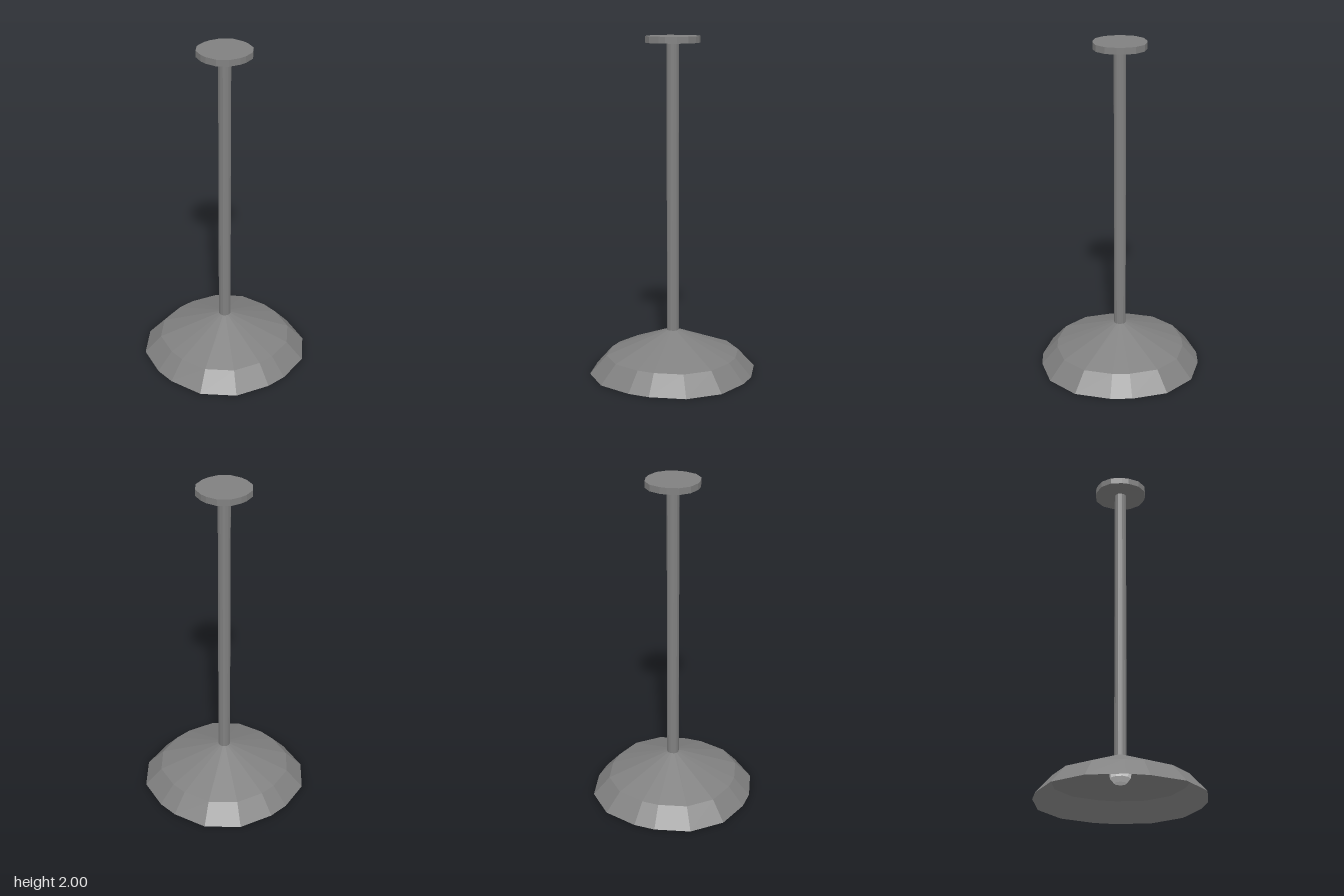
import * as THREE from 'three';

// Sixteen-sided outline shared by pole, plate and shade (one quadrant, x/z, mirrored below)
const quadrant = [[0.064, 0.48], [0.27, 0.423], [0.423, 0.27], [0.48, 0.064]];
const outline = [];
for (let q = 0; q < 4; q++) {
  for (const [x, z] of quadrant) {
    const a = q * Math.PI / 2, c = Math.round(Math.cos(a)), s = Math.round(Math.sin(a));
    outline.push([x * c + z * s, z * c - x * s]);
  }
}

// Joins scaled copies of the outline, bottom to top; rings are [half width, height]
function loft(rings, capped) {
  const pos = [];
  const n = outline.length;
  const point = ([w, y], i) => {
    const [x, z] = outline[i % n];
    return [x * w / 0.48, y, z * w / 0.48];
  };
  for (let i = 0; i < n; i++) {
    for (let r = 0; r < rings.length - 1; r++) {
      const a = point(rings[r], i), b = point(rings[r], i + 1);
      const c = point(rings[r + 1], i + 1), d = point(rings[r + 1], i);
      pos.push(...a, ...b, ...c, ...a, ...c, ...d);
    }
    if (capped) {
      const low = rings[0], high = rings[rings.length - 1];
      pos.push(0, high[1], 0, ...point(high, i), ...point(high, i + 1));
      pos.push(0, low[1], 0, ...point(low, i + 1), ...point(low, i));
    }
  }
  const geo = new THREE.BufferGeometry();
  geo.setAttribute('position', new THREE.Float32BufferAttribute(pos, 3));
  geo.computeVertexNormals();
  return geo;
}

export function createModel() {
  const group = new THREE.Group();
  const metal = new THREE.MeshStandardMaterial({ color: 0x808080, side: THREE.DoubleSide });
  metal.name = 'grey metal';
  const glass = new THREE.MeshStandardMaterial({ color: 0xebebeb });
  glass.name = 'pale glass';

  const add = (name, geo, mat) => {
    const mesh = new THREE.Mesh(geo, mat);
    mesh.name = name;
    group.add(mesh);
  };

  // Ceiling plate and hanging rod
  add('ceilingPlate', loft([[0.153, 1.962], [0.153, 2]], true), metal);
  add('rod', loft([[0.035, 0.25], [0.035, 1.965]], true), metal);

  // Open thin shade
  add('shade', loft([[0.48, 0], [0.384, 0.11], [0.035, 0.255]], false), metal);

  // Faceted bulb: round globe narrowing to a neck
  const profile = [[0, 0.088], [0.035, 0.098], [0.058, 0.125], [0.062, 0.152],
    [0.052, 0.182], [0.035, 0.21], [0.026, 0.25]].map(([r, y]) => new THREE.Vector2(r, y));
  const bulb = new THREE.LatheGeometry(profile, 10).toNonIndexed();
  bulb.computeVertexNormals();
  add('bulb', bulb, glass);

  return group;
}
